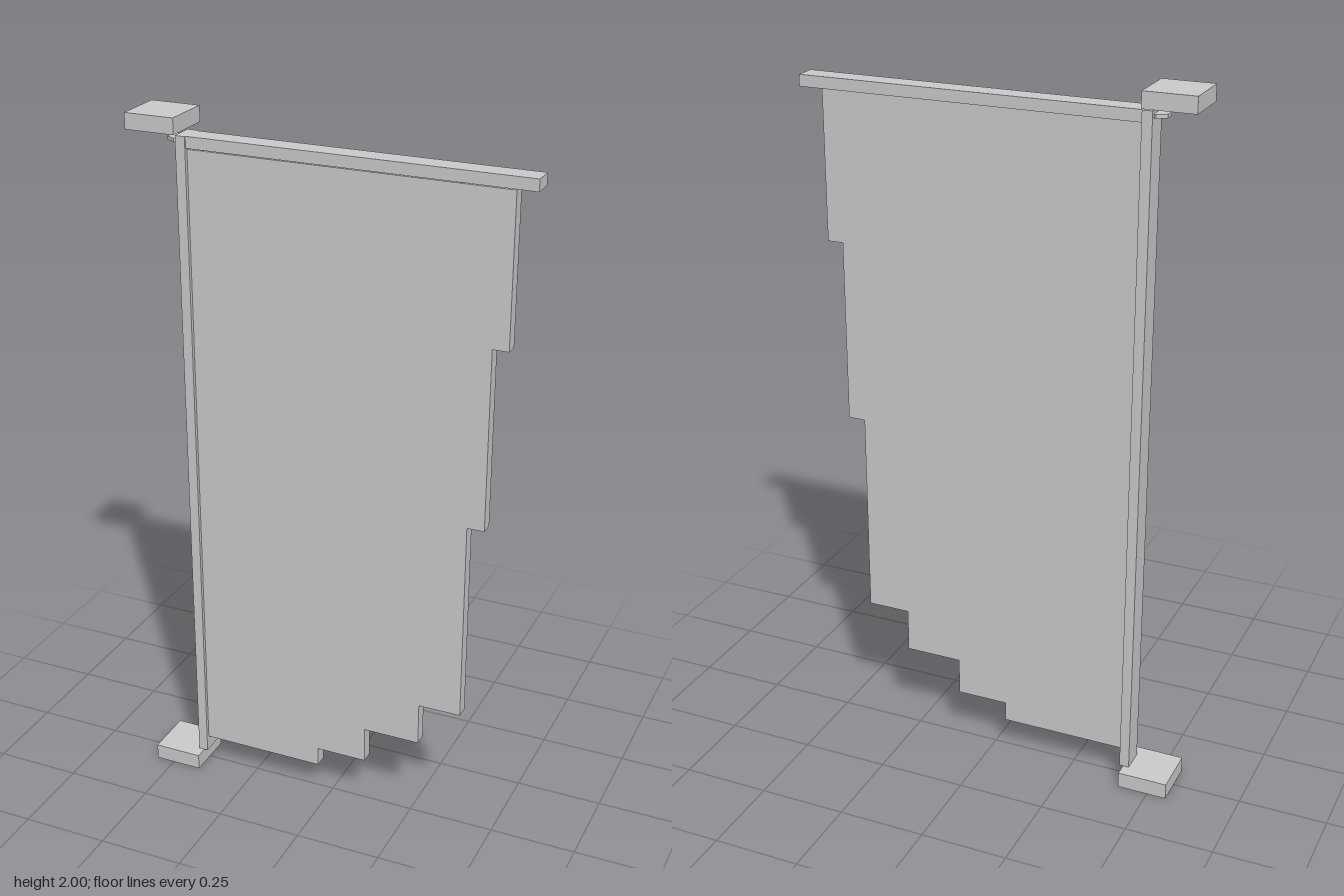
import * as THREE from 'three';

export function createModel() {
  const model = new THREE.Group();
  const mat = new THREE.MeshStandardMaterial({ color: 0xcccccc, flatShading: true });

  const add = (name, geometry) => {
    const mesh = new THREE.Mesh(geometry, mat);
    mesh.name = name;
    model.add(mesh);
    return mesh;
  };
  // Box given by its extents on each axis
  const box = (name, [x0, x1], [y0, y1], [z0, z1]) =>
    add(name, new THREE.BoxGeometry(x1 - x0, y1 - y0, z1 - z0))
      .position.set((x0 + x1) / 2, (y0 + y1) / 2, (z0 + z1) / 2);

  // Wall blocks, pole and crossbar
  box('lowerBlock', [-0.555, -0.413], [0, 0.046], [-0.073, 0.073]);
  box('upperBlock', [-0.555, -0.413], [1.956, 2], [-0.073, 0.073]);
  box('pole', [-0.43, -0.402], [0.046, 1.944], [-0.035, 0.035]);
  box('crossbar', [-0.402, 0.552], [1.912, 1.944], [-0.031, 0.031]);

  // Small six-sided plate behind the pole top
  add('polePlate', new THREE.CylinderGeometry(0.03, 0.03, 0.01, 6))
    .position.set(-0.437, 1.93, 0);

  // Cloth with a stepped, ragged free edge
  const outline = [
    [-0.402, 1.908], [-0.402, 0.09], [-0.037, 0.09],
  ];
  const steps = [
    [-0.037, 0.147], [0.112, 0.255], [0.277, 0.381],
    [0.4, 0.973], [0.449, 1.49], [0.494, 1.908],
  ];
  steps.forEach(([x, top], i) => {
    outline.push([x, top]);
    if (i < steps.length - 1) outline.push([steps[i + 1][0], top]);
  });
  const cloth = new THREE.ExtrudeGeometry(
    new THREE.Shape(outline.map(([x, y]) => new THREE.Vector2(x, y))),
    { depth: 0.038, bevelEnabled: false });
  add('cloth', cloth).position.z = -0.014;

  // Small rings hanging the cloth from the crossbar
  for (const x of [-0.35, 0.35]) {
    const ring = add('hangingRing', new THREE.TorusGeometry(0.019, 0.005, 6, 10));
    ring.rotation.y = Math.PI / 2;
    ring.position.set(x, 1.921, 0.005);
  }
  return model;
}
